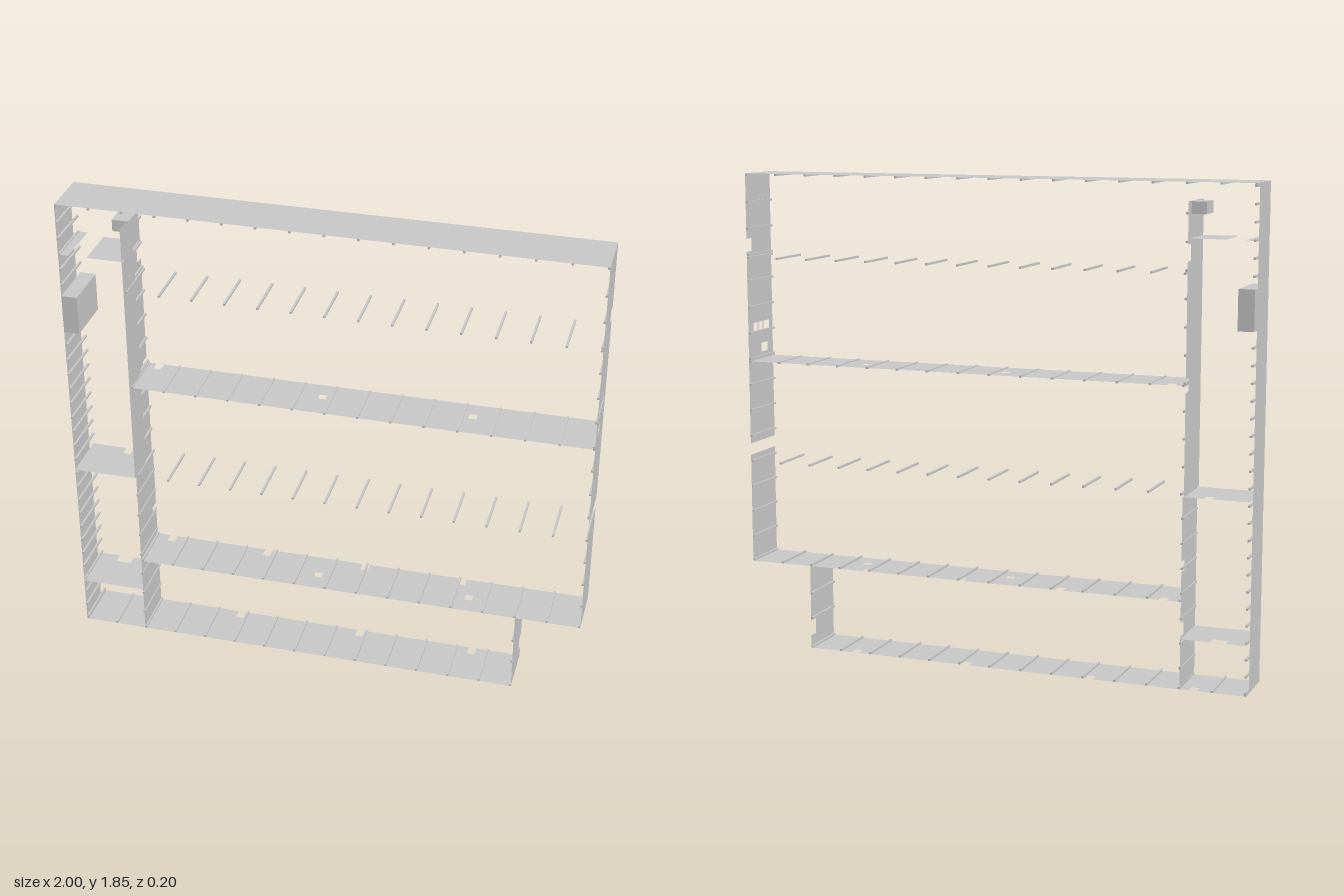
import * as THREE from 'three';

const D = 0.1; // half depth of the frame
const NOTCH = -0.06; // how far notches reach in from the back edge
const RIB = 0.008;

export function createModel() {
  const model = new THREE.Group();
  model.name = 'shelfFrame';
  const sheet = new THREE.MeshStandardMaterial({ color: 0xcccccc, side: THREE.DoubleSide });
  const solid = new THREE.MeshStandardMaterial({ color: 0xcccccc });

  // Thin panel: u runs along x (horizontal) or y (vertical), at a fixed height or side position.
  function panel(name, upright, at, u0, u1, { z0 = -D, z1 = D, notches = [], holes = [] } = {}) {
    const shape = new THREE.Shape();
    shape.moveTo(u0, z1);
    shape.lineTo(u0, z0);
    for (const [a, b] of notches) {
      shape.lineTo(a, z0);
      shape.lineTo(a, NOTCH);
      shape.lineTo(b, NOTCH);
      shape.lineTo(b, z0);
    }
    shape.lineTo(u1, z0);
    shape.lineTo(u1, z1);
    shape.closePath();
    for (const [a, b, c, d] of holes) {
      const hole = new THREE.Path();
      hole.moveTo(a, c).lineTo(b, c).lineTo(b, d).lineTo(a, d).closePath();
      shape.holes.push(hole);
    }
    const geo = new THREE.ShapeGeometry(shape);
    const p = geo.attributes.position;
    for (let i = 0; i < p.count; i++) {
      const u = p.getX(i), z = p.getY(i);
      if (upright) p.setXYZ(i, at, u, z);
      else p.setXYZ(i, u, at, z);
    }
    geo.computeVertexNormals();
    const mesh = new THREE.Mesh(geo, sheet);
    mesh.name = name;
    model.add(mesh);
  }

  function block(name, x0, x1, y0, y1, z0, z1) {
    const mesh = new THREE.Mesh(new THREE.BoxGeometry(x1 - x0, y1 - y0, z1 - z0), solid);
    mesh.position.set((x0 + x1) / 2, (y0 + y1) / 2, (z0 + z1) / 2);
    mesh.name = name;
    model.add(mesh);
  }

  // Evenly spaced ribs running front to back
  function ribs(name, upright, at, from, to, count, z0 = -D, z1 = D) {
    const group = new THREE.Group();
    group.name = name;
    const geo = new THREE.BoxGeometry(RIB, RIB, z1 - z0);
    for (let i = 0; i < count; i++) {
      const u = from + ((to - from) * i) / (count - 1);
      const rib = new THREE.Mesh(geo, solid);
      rib.name = 'rib';
      rib.position.set(upright ? at : u, upright ? u : at, (z0 + z1) / 2);
      group.add(rib);
    }
    model.add(group);
  }

  const around = (list, w = 0.015) => list.map((u) => [u - w, u + w]);

  // Outer shell
  panel('topPanel', false, 1.85, -1, 1);
  panel('bottomPanel', false, 0, -1, 0.75, { notches: around([-0.8, -0.4, 0.1, 0.56]) });
  panel('rightSideWall', true, -1, 0, 1.85, { z0: NOTCH });
  panel('leftSideWallUpper', true, 1, 0.8, 1.85, {
    notches: [[1.55, 1.6]],
    holes: [
      [1.23, 1.27, 0.025, 0.07],
      [1.23, 1.27, -0.018, 0.018],
      [1.23, 1.27, -0.058, -0.025],
      [1.15, 1.185, 0.005, 0.055],
    ],
  });
  panel('leftSideWallLower', true, 1, 0.33, 0.755);
  panel('baseEndWall', true, 0.75, 0, 0.33, { notches: [[0.05, 0.11]] });

  // Long shelves
  panel('middleShelf', false, 1.125, -0.745, 1, {
    notches: around([-0.7]),
    holes: [[0.52, 0.55, -0.03, 0], [-0.05, -0.02, -0.03, 0]],
  });
  panel('lowerShelf', false, 0.33, -0.75, 1, {
    notches: around([-0.68, -0.28, 0.12, 0.51]),
    holes: [[0.54, 0.57, 0, 0.03], [-0.06, -0.03, 0, 0.03]],
  });

  // Divider column: ribbed below, double-skinned above
  panel('dividerLower', true, -0.75, 0, 0.72, { notches: [[0.2, 0.25], [0.44, 0.48]] });
  panel('dividerOuterSkin', true, -0.755, 0.72, 1.78, { notches: [[1.1, 1.15], [1.57, 1.63]] });
  panel('dividerFrontSkin', true, -0.745, 0.72, 1.78, { z0: 0 });

  // Narrow compartment fittings
  panel('compartmentShelf', false, 0.72, -1, -0.75, { notches: [[-0.86, -0.83]] });
  panel('compartmentLowShelf', false, 0.19, -1, -0.75, { notches: [[-0.92, -0.86]] });
  panel('compartmentTopShelf', false, 1.65, -0.89, -0.75, { z0: -0.08 });
  panel('wallLedge', false, 1.65, -1, -0.96);
  block('wallBox', -1, -0.94, 1.33, 1.48, -D, D);
  block('latchBlock', -0.81, -0.745, 1.735, 1.78, -0.06, 0.03);

  // Ribs on shelves and free cross bars between them
  ribs('topRibs', false, 1.85 - RIB / 2, -0.996, 0.996, 17);
  ribs('upperCrossBars', false, 1.527, -0.745, 0.996, 15);
  ribs('middleShelfRibs', false, 1.125, -0.745, 0.996, 15);
  ribs('lowerCrossBars', false, 0.73, -0.745, 0.996, 15);
  ribs('lowerShelfRibs', false, 0.33 + RIB / 2, -0.745, 0.996, 15);
  ribs('bottomRibs', false, RIB / 2, -0.996, 0.746, 15);

  // Ribs on upright walls
  ribs('rightWallRibs', true, -1 + RIB / 2, 0.01, 1.84, 30);
  ribs('leftWallUpperRibs', true, 1 - RIB / 2, 0.83, 1.74, 10);
  ribs('leftWallLowerRibs', true, 1 - RIB / 2, 0.43, 0.63, 3);
  ribs('baseEndRibs', true, 0.75 - RIB / 2, 0.12, 0.22, 2);
  ribs('dividerLowerRibs', true, -0.75, 0.08, 0.64, 7);
  ribs('dividerUpperRibs', true, -0.75, 0.83, 1.74, 10, -D, 0);

  return model;
}
